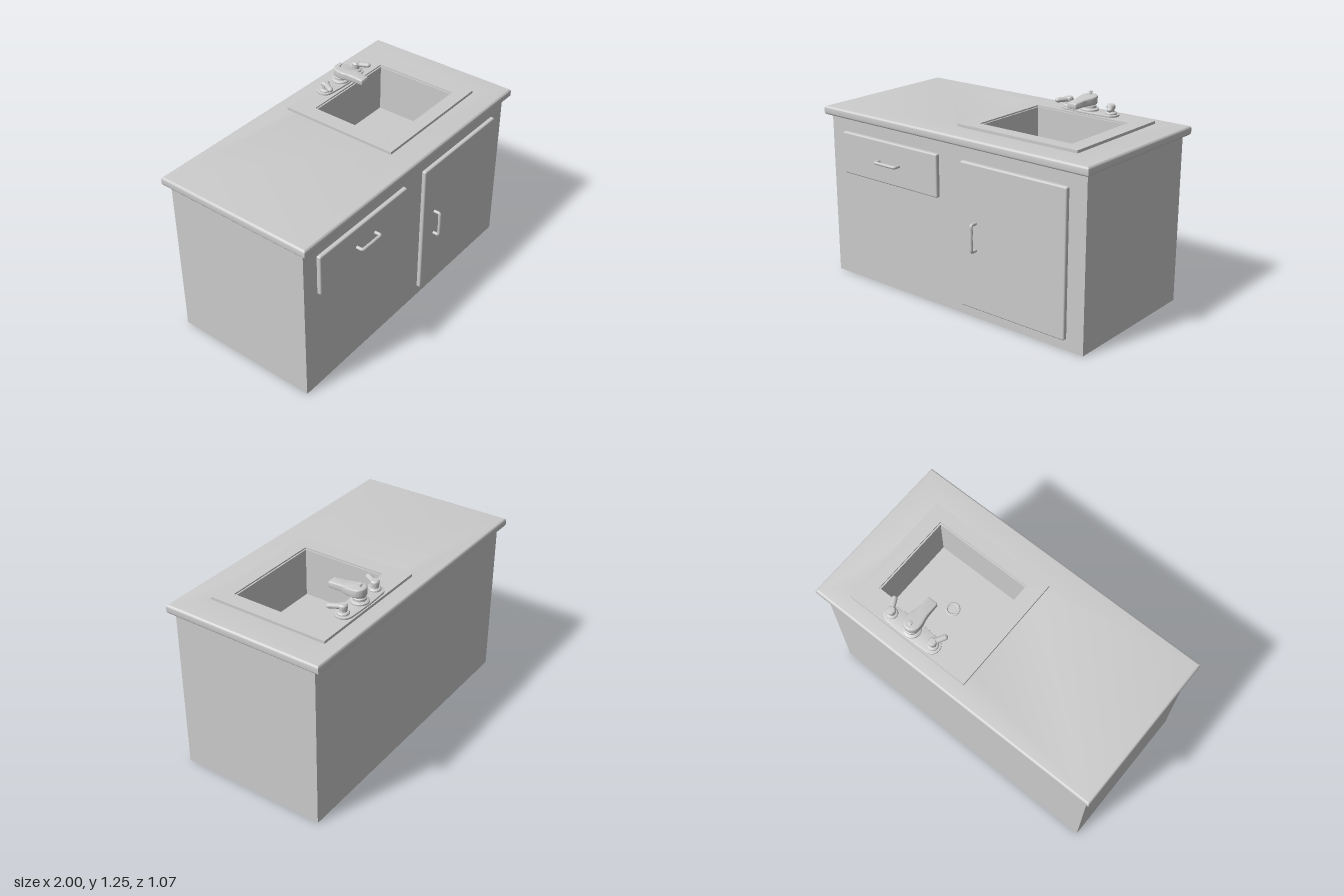
import * as THREE from 'three';
import { toCreasedNormals } from 'three/addons/utils/BufferGeometryUtils.js';
import { RoundedBoxGeometry } from 'three/addons/geometries/RoundedBoxGeometry.js';

const grey = new THREE.MeshStandardMaterial({ color: 0xcccccc });
const greyFlat = new THREE.MeshStandardMaterial({ color: 0xcccccc, flatShading: true, side: THREE.DoubleSide });

function add(parent, name, geometry, x = 0, y = 0, z = 0, material = grey) {
  const mesh = new THREE.Mesh(geometry, material);
  mesh.name = name;
  mesh.position.set(x, y, z);
  parent.add(mesh);
  return mesh;
}

// Rectangle outline in plan: shape y stands for world z
function rect(Type, x0, x1, z0, z1) {
  const p = new Type();
  p.moveTo(x0, z0);
  p.lineTo(x1, z0);
  p.lineTo(x1, z1);
  p.lineTo(x0, z1);
  p.closePath();
  return p;
}

// Horizontal slab between two heights, with optionally rounded edges
function slab(shape, y0, y1, bevel = 0, bevelSegments = 4) {
  const g = new THREE.ExtrudeGeometry(shape, {
    depth: y1 - y0 - 2 * bevel, curveSegments: 20, bevelEnabled: bevel > 0,
    bevelThickness: bevel, bevelSize: bevel, bevelOffset: -bevel, bevelSegments,
  });
  g.rotateX(Math.PI / 2).translate(0, y1 - bevel, 0);
  return toCreasedNormals(g, 0.6);
}

function lathe(points, segments = 28) {
  const g = new THREE.LatheGeometry(points.map(([r, y]) => new THREE.Vector2(r, y)), segments);
  return toCreasedNormals(g, 0.6);
}

// Bar handle along x, standing off its panel toward +z
function createHandle(name, length) {
  const handle = new THREE.Group();
  handle.name = name;
  const r = 0.01, reach = 0.042, half = length / 2 - r;
  const path = new THREE.CatmullRomCurve3([
    [-half, -0.005], [-half, reach * 0.5], [-half, reach - 0.008], [-half + 0.008, reach - 0.001],
    [-half * 0.5, reach], [0, reach + 0.001], [half * 0.5, reach],
    [half - 0.008, reach - 0.001], [half, reach - 0.008], [half, reach * 0.5], [half, -0.005],
  ].map(([x, z]) => new THREE.Vector3(x, 0, z)));
  add(handle, 'handleBar', new THREE.TubeGeometry(path, 64, r, 12));
  return handle;
}

function createCabinet() {
  const cabinet = new THREE.Group();
  cabinet.name = 'cabinet';

  // Carcass: four walls, open underneath
  const walls = new THREE.CylinderGeometry(Math.SQRT1_2, Math.SQRT1_2, 1, 4, 1, true);
  walls.rotateY(Math.PI / 4).scale(1.94, 1.05, 0.955);
  add(cabinet, 'carcass', walls, 0, 0.525, -0.0175, greyFlat);

  // Drawer front and door
  const panel = (name, x0, x1, y0, y1) => add(cabinet, name,
    new RoundedBoxGeometry(x1 - x0, y1 - y0, 0.04, 3, 0.01), (x0 + x1) / 2, (y0 + y1) / 2, 0.465);
  panel('drawerFront', -0.86, -0.075, 0.69, 0.957);
  panel('door', 0.105, 0.855, 0.065, 0.957);

  const drawerHandle = createHandle('drawerHandle', 0.185);
  drawerHandle.position.set(-0.462, 0.825, 0.483);
  const doorHandle = createHandle('doorHandle', 0.185);
  doorHandle.rotation.z = Math.PI / 2;
  doorHandle.position.set(0.223, 0.523, 0.483);
  cabinet.add(drawerHandle, doorHandle);

  // Worktop with a cut-out for the basin
  const top = rect(THREE.Shape, -1, 1, -0.538, 0.5);
  top.holes.push(rect(THREE.Path, 0.03, 0.745, -0.33, 0.275));
  add(cabinet, 'worktop', slab(top, 1.045, 1.1, 0.014));
  return cabinet;
}

function createSink() {
  const sink = new THREE.Group();
  sink.name = 'sink';

  // Raised rim
  const rim = rect(THREE.Shape, -0.04, 0.812, -0.44, 0.335);
  rim.holes.push(rect(THREE.Path, 0.057, 0.715, -0.302, 0.249));
  add(sink, 'sinkRim', slab(rim, 1.098, 1.117));

  // Basin walls and floor
  const wall = rect(THREE.Shape, 0.05, 0.722, -0.309, 0.256);
  wall.holes.push(rect(THREE.Path, 0.066, 0.706, -0.293, 0.24));
  add(sink, 'basinWalls', slab(wall, 0.8, 1.108));
  add(sink, 'basinFloor', slab(rect(THREE.Shape, 0.05, 0.722, -0.309, 0.256), 0.785, 0.801));

  // Drain ring with a sunken centre
  add(sink, 'drain', lathe([[0.046, 0], [0.046, 0.004], [0.042, 0.008], [0.034, 0.008],
    [0.03, 0.003], [0, 0.003]]), 0.395, 0.8, -0.04);
  return sink;
}

function createFaucet() {
  const faucet = new THREE.Group();
  faucet.name = 'faucet';
  faucet.position.set(0.395, 1.117, -0.375);

  // Base plate, rounded at both ends and a little fuller in the middle
  const plate = new THREE.Shape();
  plate.moveTo(-0.15, -0.055);
  plate.quadraticCurveTo(0, -0.065, 0.15, -0.055);
  plate.bezierCurveTo(0.22, -0.05, 0.22, 0.05, 0.15, 0.052);
  plate.quadraticCurveTo(0, 0.07, -0.15, 0.052);
  plate.bezierCurveTo(-0.22, 0.05, -0.22, -0.05, -0.15, -0.055);
  add(faucet, 'basePlate', slab(plate, 0, 0.013, 0.004, 2));

  // Central column
  add(faucet, 'spoutColumn', lathe([[0.056, 0.012], [0.056, 0.022], [0.05, 0.027], [0.04, 0.029],
    [0.04, 0.042], [0.034, 0.046], [0.034, 0.06]]));

  // Spout: rounded at the back, narrowing and thinning toward the front
  const plan = new THREE.Shape();
  plan.absarc(0, 0.012, 0.052, Math.PI, Math.PI * 2);
  plan.bezierCurveTo(0.052, 0.07, 0.037, 0.07, 0.036, 0.12);
  plan.lineTo(0.034, 0.18);
  plan.quadraticCurveTo(0.034, 0.192, 0.022, 0.192);
  plan.lineTo(-0.022, 0.192);
  plan.quadraticCurveTo(-0.034, 0.192, -0.034, 0.18);
  plan.lineTo(-0.036, 0.12);
  plan.bezierCurveTo(-0.037, 0.07, -0.052, 0.07, -0.052, 0.012);
  const spout = slab(plan, 0, 1 / 18, 0.01);
  const p = spout.attributes.position;
  for (let i = 0; i < p.count; i++) {
    const t = THREE.MathUtils.clamp((p.getZ(i) + 0.04) / 0.232, 0, 1);
    p.setY(i, 0.053 + p.getY(i) * (1 - 0.33 * t));
  }
  add(faucet, 'spout', toCreasedNormals(spout, 0.6));

  // Lift knob on top of the spout
  add(faucet, 'liftKnob', lathe([[0.006, 0.095], [0.006, 0.119], [0.014, 0.121], [0.014, 0.126],
    [0.01, 0.129], [0, 0.129]], 16), 0, 0, -0.004);

  // Mirrored taps with levers splayed outward and forward
  for (const s of [1, -1]) {
    const tap = new THREE.Group();
    tap.name = s > 0 ? 'leftTap' : 'rightTap';
    tap.position.set(s * 0.153, 0, 0.002);
    add(tap, 'tapBase', lathe([[0.036, 0.012], [0.036, 0.02], [0.031, 0.026], [0.022, 0.028],
      [0.022, 0.044], [0.026, 0.047], [0.026, 0.064], [0.02, 0.072], [0, 0.074]]));
    const lever = new THREE.CapsuleGeometry(0.018, 0.068, 6, 16);
    lever.rotateX(Math.PI / 2).scale(1, 0.85, 1);
    const mesh = add(tap, 'tapLever', lever, s * 0.019, 0.056, 0.037);
    mesh.rotation.y = s * 0.5;
    faucet.add(tap);
  }
  return faucet;
}

export function createModel() {
  const model = new THREE.Group();
  model.name = 'sinkCabinet';
  model.add(createCabinet(), createSink(), createFaucet());
  return model;
}
